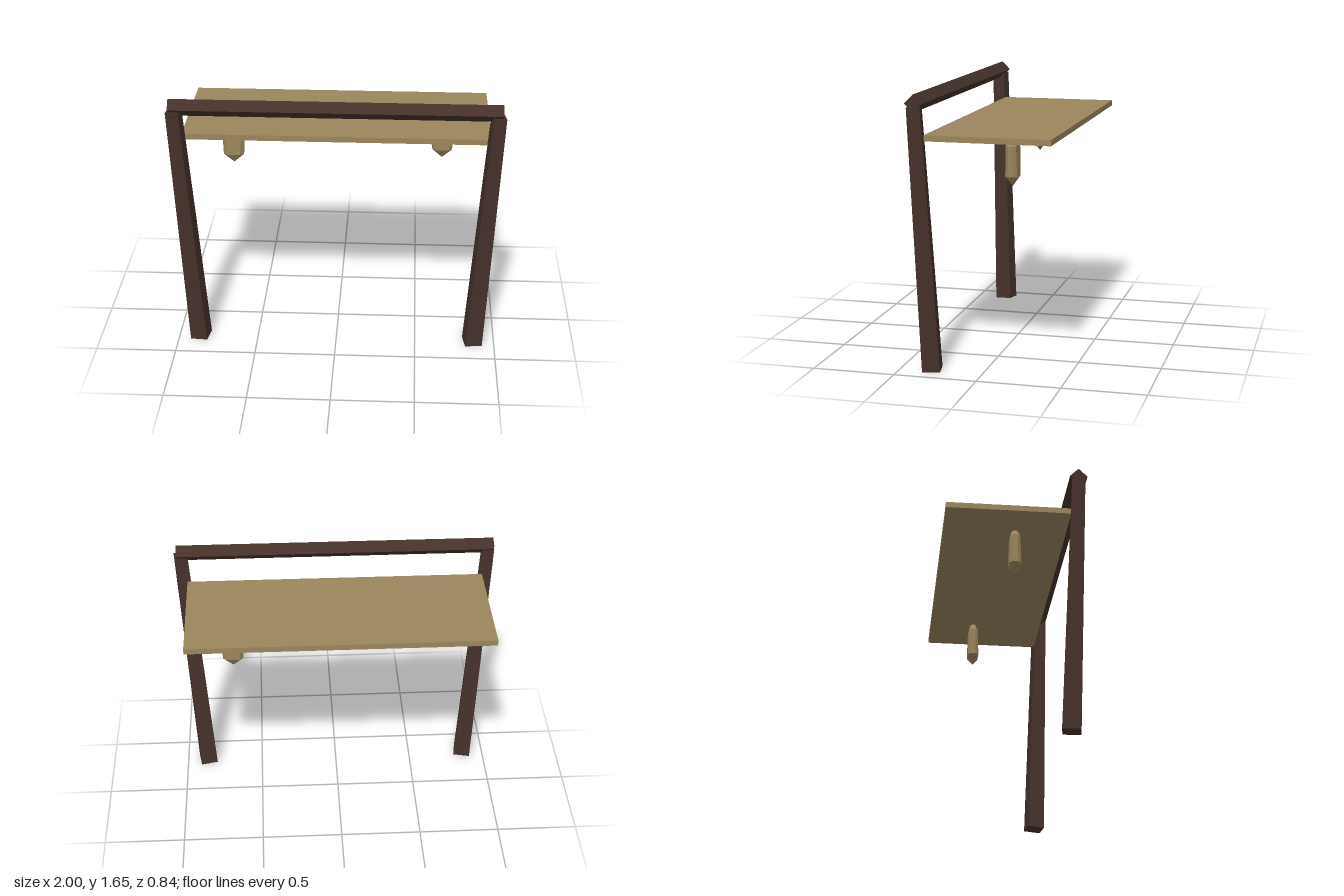
import * as THREE from 'three';
import { ConvexGeometry } from 'three/addons/geometries/ConvexGeometry.js';

export function createModel() {
  const group = new THREE.Group();
  const darkWood = new THREE.MeshStandardMaterial({ color: 0x45312a, flatShading: true });
  darkWood.name = 'darkWood';
  const paleWood = new THREE.MeshStandardMaterial({ color: 0x9b865d, flatShading: true });
  paleWood.name = 'paleWood';

  const add = (name, geometry, material) => {
    const mesh = new THREE.Mesh(geometry, material);
    mesh.name = name;
    group.add(mesh);
    return mesh;
  };

  // Tapered square post leaning outwards and forwards, slightly turned
  function post(name, side) {
    const bottom = new THREE.Vector3(side * 0.8625, 0.006, 0.307);
    const top = new THREE.Vector3(side * 0.957, 1.578, 0.368);
    const axis = top.clone().sub(bottom);
    const length = axis.length();
    const geometry = new THREE.BoxGeometry(1, length, 1);
    const p = geometry.attributes.position;
    for (let i = 0; i < p.count; i++) {
      const width = p.getY(i) > 0 ? 0.078 : 0.107;
      p.setX(i, p.getX(i) * width);
      p.setZ(i, p.getZ(i) * width);
    }
    geometry.rotateY(side * 0.16);
    geometry.computeVertexNormals();
    const mesh = add(name, geometry, darkWood);
    mesh.quaternion.setFromUnitVectors(new THREE.Vector3(0, 1, 0), axis.normalize());
    mesh.position.copy(bottom).add(top).multiplyScalar(0.5);
  }
  post('leftPost', 1);
  post('rightPost', -1);

  // Square crossbeam set on its edge
  const beam = add('crossbeam', new THREE.BoxGeometry(1.97, 0.074, 0.074), darkWood);
  beam.position.set(-0.002, 1.597, 0.364);
  beam.rotation.x = Math.PI / 4;

  // Flat awning board behind the posts
  const board = add('awningBoard', new THREE.BoxGeometry(1.845, 0.035, 0.745), paleWood);
  board.position.set(0, 1.393, -0.0475);

  // Hanging lantern: flattened chamfered body with a pointed base
  function lantern(name, x, z, tipY) {
    // y, half width, half depth, chamfer
    const rings = [
      [0.29, 0.036, 0.015, 0.008],
      [0.24, 0.068, 0.031, 0.019],
      [0.06, 0.062, 0.036, 0.02],
    ];
    const points = [new THREE.Vector3(0, 0, 0)];
    for (const [y, w, d, c] of rings) {
      for (const sx of [-1, 1]) {
        for (const sz of [-1, 1]) {
          points.push(new THREE.Vector3(sx * w, y, sz * (d - c)));
          points.push(new THREE.Vector3(sx * (w - c), y, sz * d));
        }
      }
    }
    add(name, new ConvexGeometry(points), paleWood).position.set(x, tipY, z);
  }
  lantern('rightLantern', -0.65, 0.015, 1.094);
  lantern('leftLantern', 0.645, -0.13, 1.089);

  return group;
}
